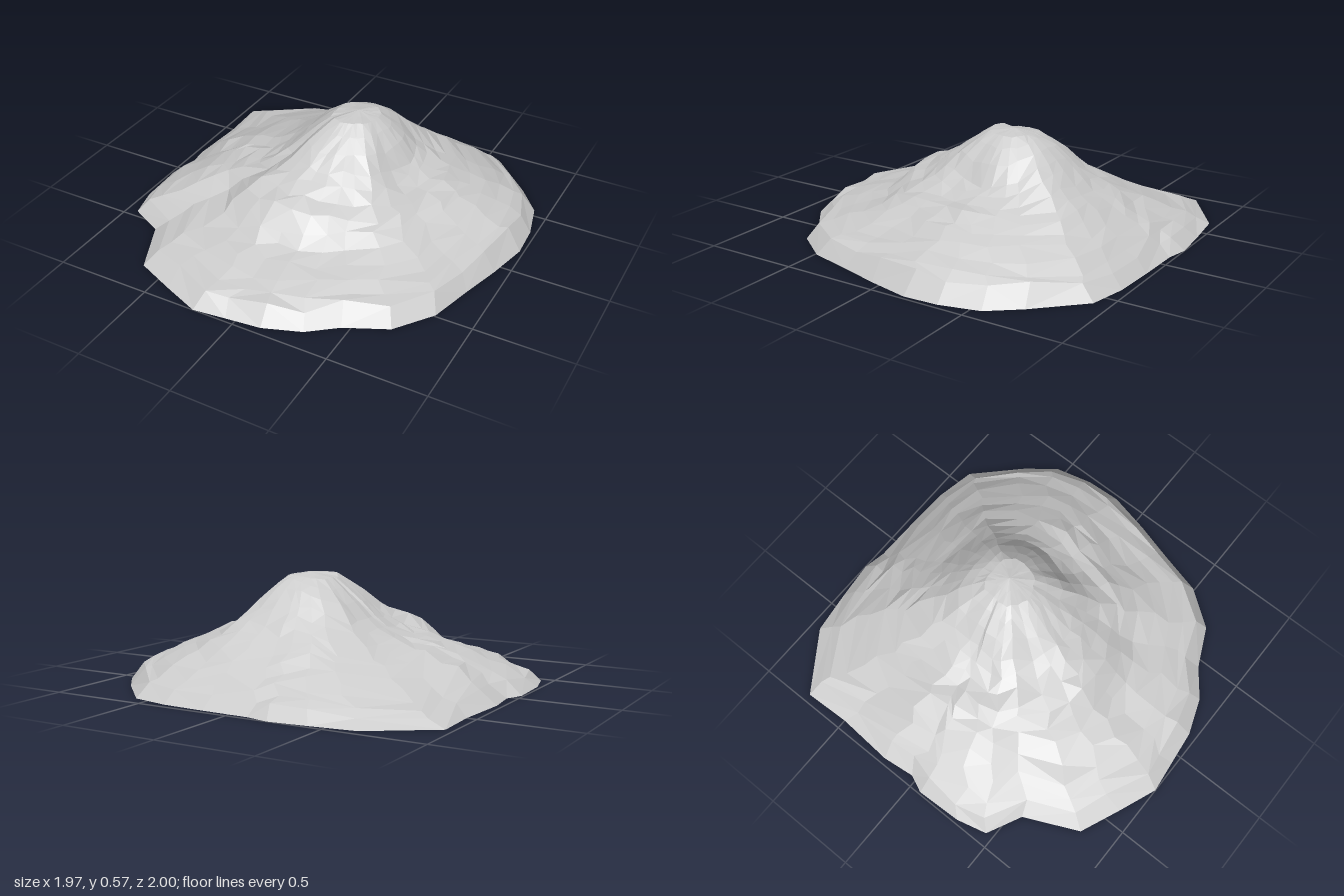
import * as THREE from 'three';

// ground outline of the mound as [x, z], running round from the back
const RIM = [
  [-0.22, -1], [-0.1, -0.975], [0.15, -0.97], [0.38, -0.96], [0.58, -0.92], [0.8, -0.7], [0.92, -0.55],
  [0.97, -0.35], [0.98, -0.17], [0.93, 0.05], [0.87, 0.26], [0.81, 0.49], [0.67, 0.68],
  [0.46, 0.78], [0.32, 0.89], [0.13, 0.96], [-0.05, 0.98], [-0.22, 1], [-0.42, 0.92], [-0.63, 0.83],
  [-0.76, 0.55], [-0.94, 0.46], [-0.98, 0.3], [-0.99, 0.06], [-0.95, -0.03], [-0.97, -0.2],
  [-0.95, -0.5], [-0.96, -0.74], [-0.65, -0.95], [-0.42, -0.98],
];

// slope profiles every 30 degrees, from +x towards +z, at the STEPS fractions
const STEPS = [0, 0.12, 0.22, 0.32, 0.42, 0.52, 0.64, 0.8, 0.93, 1];
const SLOPES = [
  [0.555, 0.48, 0.34, 0.285, 0.28, 0.225, 0.15, 0.10],
  [0.555, 0.48, 0.35, 0.285, 0.26, 0.195, 0.12, 0.09],
  [0.56, 0.49, 0.40, 0.31, 0.25, 0.17, 0.12, 0.09],
  [0.56, 0.48, 0.40, 0.33, 0.285, 0.16, 0.11, 0.075],
  [0.56, 0.49, 0.40, 0.345, 0.31, 0.165, 0.11, 0.07],
  [0.54, 0.45, 0.34, 0.265, 0.245, 0.215, 0.13, 0.07],
  [0.545, 0.465, 0.36, 0.28, 0.25, 0.225, 0.16, 0.07],
  [0.54, 0.46, 0.355, 0.27, 0.215, 0.15, 0.08, 0.035],
  [0.55, 0.505, 0.42, 0.335, 0.275, 0.20, 0.12, 0.05],
  [0.555, 0.53, 0.465, 0.375, 0.305, 0.235, 0.145, 0.06],
  [0.56, 0.52, 0.445, 0.36, 0.30, 0.23, 0.14, 0.06],
  [0.555, 0.485, 0.375, 0.30, 0.27, 0.22, 0.15, 0.09],
].map((s) => [0.568, ...s, 0]);

const PEAK = { x: 0.05, z: -0.18 };
const RINGS = [0.06, 0.12, 0.18, 0.25, 0.32, 0.38, 0.45, 0.52, 0.58, 0.64, 0.72, 0.8, 0.87, 0.93, 1];

function seeded(seed) {
  return () => {
    seed = (seed * 16807) % 2147483647;
    return (seed / 2147483647) * 2 - 1;
  };
}

function alongSlope(slope, t) {
  let i = 0;
  while (i < STEPS.length - 2 && t > STEPS[i + 1]) i++;
  return THREE.MathUtils.lerp(slope[i], slope[i + 1], (t - STEPS[i]) / (STEPS[i + 1] - STEPS[i]));
}

function heightAt(angle, t) {
  const turn = ((angle / (Math.PI * 2) + 1) % 1) * SLOPES.length;
  const i = Math.floor(turn);
  return THREE.MathUtils.lerp(
    alongSlope(SLOPES[i % SLOPES.length], t),
    alongSlope(SLOPES[(i + 1) % SLOPES.length], t),
    turn - i,
  );
}

// rings of rough vertices from the rounded summit out to the rim, open underneath
function moundGeometry() {
  const rand = seeded(4177);
  const n = RIM.length;
  const positions = [PEAK.x, 0.57, PEAK.z];
  const index = [];
  RINGS.forEach((ring, r) => {
    // the summit and the rim stay clean, the slopes between are rough
    const rough = ring === 1 ? 0 : Math.min(1, ring * 2);
    RIM.forEach(([rx, rz], s) => {
      const dx = rx - PEAK.x;
      const dz = rz - PEAK.z;
      const length = Math.hypot(dx, dz);
      const t = ring + rand() * 0.016 * rough;
      const angle = Math.atan2(dz, dx) + rand() * 0.035 * rough;
      positions.push(
        PEAK.x + Math.cos(angle) * length * t,
        heightAt(angle, t) + rand() * 0.008 * rough,
        PEAK.z + Math.sin(angle) * length * t,
      );
      const next = (s + 1) % n;
      const c = 1 + r * n + s;
      const d = 1 + r * n + next;
      if (r === 0) {
        index.push(0, d, c);
        return;
      }
      const a = c - n;
      const b = d - n;
      // vary the diagonals so the facets look broken
      if (rand() > 0) index.push(a, b, c, b, d, c);
      else index.push(a, d, c, a, b, d);
    });
  });
  const geometry = new THREE.BufferGeometry();
  geometry.setAttribute('position', new THREE.Float32BufferAttribute(positions, 3));
  geometry.setIndex(index);
  geometry.computeVertexNormals();
  return geometry;
}

export function createModel() {
  const group = new THREE.Group();
  group.name = 'rockyMound';
  const material = new THREE.MeshStandardMaterial({
    color: 0xcccccc,
    flatShading: true,
    side: THREE.DoubleSide,
  });
  const mound = new THREE.Mesh(moundGeometry(), material);
  mound.name = 'moundSurface';
  group.add(mound);
  return group;
}
